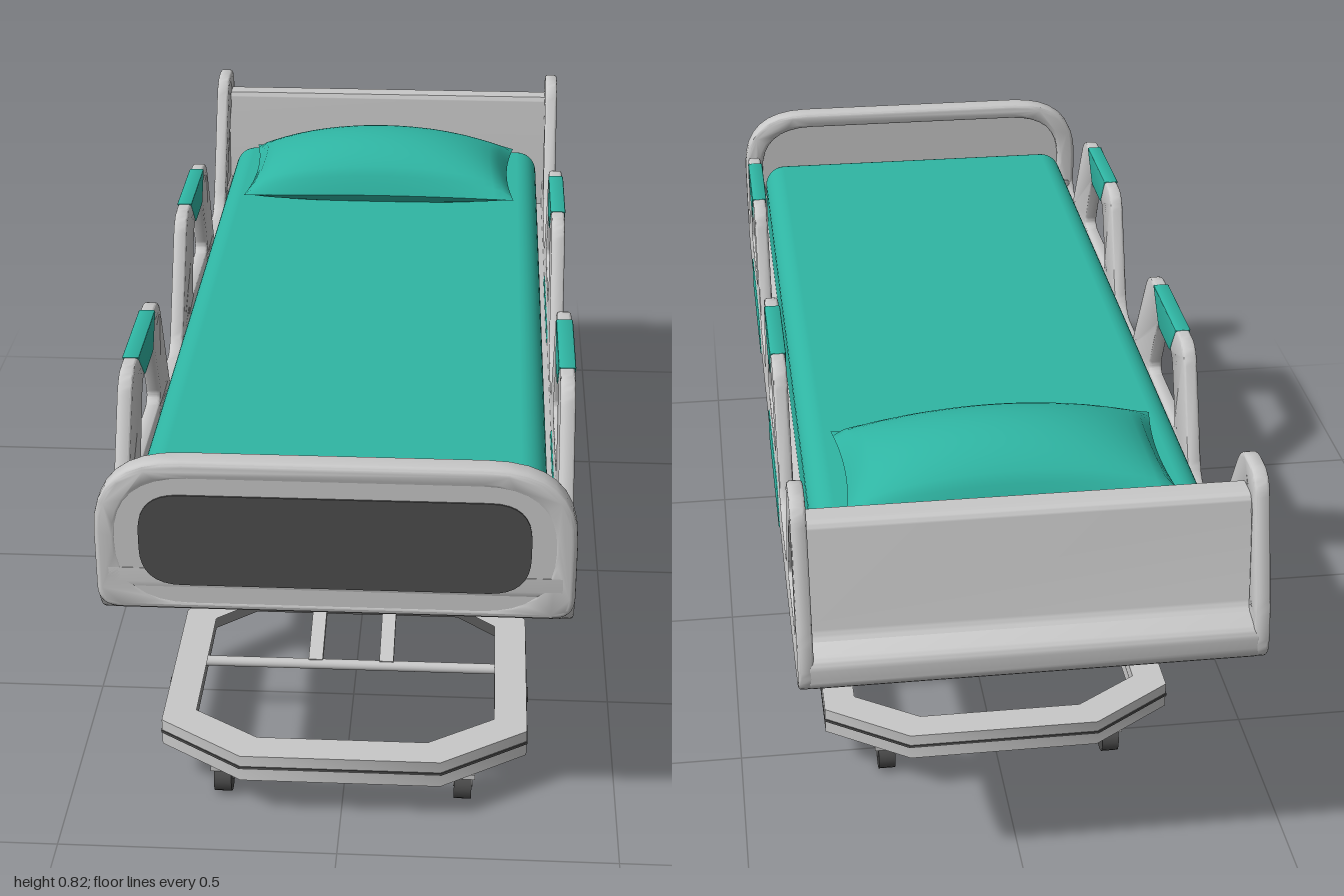
import * as THREE from 'three';
import { toCreasedNormals } from 'three/addons/utils/BufferGeometryUtils.js';
import { RoundedBoxGeometry } from 'three/addons/geometries/RoundedBoxGeometry.js';

const mat = (name, color) => Object.assign(new THREE.MeshStandardMaterial({ color }), { name });

// Closed outline whose corners are rounded; a point may carry its own radius as third value
function outline(pts, r = 0, Kind = THREE.Shape) {
  const s = new Kind();
  const n = pts.length;
  pts.forEach((p, i) => {
    const P = new THREE.Vector2(p[0], p[1]);
    const toward = (q) => {
      const d = new THREE.Vector2(q[0], q[1]).sub(P);
      const len = d.length();
      return d.multiplyScalar(Math.min(p[2] ?? r, len * 0.48) / len).add(P);
    };
    const a = toward(pts[(i + n - 1) % n]);
    const b = toward(pts[(i + 1) % n]);
    if (i === 0) s.moveTo(a.x, a.y); else s.lineTo(a.x, a.y);
    if ((p[2] ?? r) > 0) s.quadraticCurveTo(P.x, P.y, b.x, b.y);
  });
  s.closePath();
  return s;
}

// Extrusion of exact total depth and outline, with an optional edge bevel
function slab(shape, depth, bevel = 0) {
  const g = new THREE.ExtrudeGeometry(shape, {
    depth: depth - 2 * bevel, curveSegments: 8, bevelEnabled: bevel > 0,
    bevelSize: bevel, bevelThickness: bevel, bevelOffset: -bevel, bevelSegments: 4,
  });
  return toCreasedNormals(g.translate(0, 0, bevel), 0.6);
}
// Outline in (z, y), spanning x0..x1
const sideSlab = (shape, x0, x1, bevel) => slab(shape, x1 - x0, bevel).rotateY(-Math.PI / 2).translate(x1, 0, 0);
// Outline in (x, z), spanning y0..y1
const flatSlab = (shape, y0, y1) => slab(shape, y1 - y0).rotateX(Math.PI / 2).translate(0, y1, 0);
// Adds the mirrored half of an outline given for +x
const mirrored = (half) => [...half, ...half.map(([x, z]) => [-x, z]).reverse()];

export function createModel() {
  const grey = mat('light grey plastic', 0xc8c8c8);
  const dark = mat('dark grey', 0x4d4d4d);
  const teal = mat('teal', 0x2fb5a3);
  const bed = new THREE.Group();
  bed.name = 'hospitalBed';
  const add = (name, geo, material, parent = bed) => {
    const m = new THREE.Mesh(geo, material);
    m.name = name;
    parent.add(m);
    return m;
  };
  const rod = (name, y, z, half, r) =>
    add(name, new THREE.CylinderGeometry(r, r, half * 2, 16).rotateZ(Math.PI / 2).translate(0, y, z), grey);

  // Bed tray, curved up at both ends
  add('bedTray', sideSlab(outline([
    [1, 0.58, 0], [1, 0.53, 0.06], [0.945, 0.455, 0.08], [-0.5, 0.455, 0.1], [-0.88, 0.478, 0.1],
    [-1, 0.495, 0.07], [-1, 0.565, 0.02], [-0.93, 0.58, 0], [-0.86, 0.52, 0], [0.95, 0.52, 0], [0.95, 0.58, 0],
  ]), -0.396, 0.396, 0.018), grey);
  add('headboard', sideSlab(outline([
    [-0.84, 0.5], [-0.86, 0.775, 0.01], [-0.865, 0.78, 0], [-0.915, 0.78, 0.015], [-0.945, 0.58, 0.02], [-0.98, 0.56], [-0.98, 0.5],
  ]), -0.385, 0.385), grey);

  // Tapered dark pan below the tray
  const pan = new THREE.BoxGeometry(0.69, 0.04, 1.395);
  const pp = pan.attributes.position;
  for (let i = 0; i < pp.count; i++) {
    if (pp.getY(i) < 0) pp.setXYZ(i, pp.getX(i) * 0.885, pp.getY(i), pp.getZ(i) * 0.93);
  }
  pan.computeVertexNormals();
  add('underPan', pan.translate(0, 0.436, 0.137), dark);

  // Footboard: rounded rim, recessed inner face, dark front plate
  const board = outline([[-0.4, 0.5, 0.04], [0.4, 0.5, 0.04], [0.4, 0.78, 0.15], [-0.4, 0.78, 0.15]]);
  board.holes.push(outline([[-0.36, 0.52], [0.36, 0.52], [0.36, 0.745], [-0.36, 0.745]], 0.12, THREE.Path));
  add('footboardRim', slab(board, 0.045, 0.01).translate(0, 0, 0.955), grey);
  add('footboardPanel', slab(outline([[-0.37, 0.51], [0.37, 0.51], [0.37, 0.755], [-0.37, 0.755]], 0.12), 0.022)
    .translate(0, 0, 0.977), grey);
  add('footboardPlate', slab(outline([[-0.325, 0.55], [0.325, 0.55], [0.325, 0.72], [-0.325, 0.72]], 0.07), 0.004)
    .translate(0, 0, 0.998), dark);

  // Mattress and pillow
  add('mattress', new RoundedBoxGeometry(0.71, 0.19, 1.79, 5, 0.045).translate(0, 0.57, 0.06), teal);
  const pillow = new THREE.BoxGeometry(2, 2, 2, 28, 1, 20);
  const pos = pillow.attributes.position;
  for (let i = 0; i < pos.count; i++) {
    const u = pos.getX(i), v = pos.getZ(i), side = Math.sign(pos.getY(i));
    const puff = Math.pow((1 - u * u) * (1 - v * v), 0.55);
    pos.setXYZ(i, 0.3 * u * (1 - 0.05 * (1 - v * v)), 0.685 + side * puff * (side > 0 ? 0.1 : 0.05),
      -0.6 + 0.165 * v * (1 - 0.09 * (1 - u * u)));
  }
  pillow.computeVertexNormals();
  add('pillow', pillow, teal);

  // Side panels with two grab handles each
  const handleShift = [0, -0.74];
  const handle = [[0.835, 0.55], [0.695, 0.79], [0.365, 0.79], [0.265, 0.55]];
  const moved = (pts, dz) => pts.map(([z, y, r]) => [z + dz, y, r]);
  const pocketPts = [[-0.735, 0.575], [-0.885, 0.775], [-0.92, 0.745], [-0.945, 0.58]];
  for (const s of [1, -1]) {
    const side = new THREE.Group();
    side.name = s > 0 ? 'leftSide' : 'rightSide';
    bed.add(side);
    const sidePart = (name, pts, r, x0, x1, material, bevel = 0, holes = []) => {
      const shape = outline(pts, r);
      shape.holes.push(...holes);
      add(name, s > 0 ? sideSlab(shape, x0, x1, bevel) : sideSlab(shape, -x1, -x0, bevel), material, side);
    };
    const holes = handleShift.map((dz) => outline(
      moved([[0.655, 0.592], [0.59, 0.73], [0.455, 0.73], [0.395, 0.592]], dz), 0.03, THREE.Path));
    holes.push(outline(pocketPts, 0.02, THREE.Path));
    sidePart('sidePanel', [
      [0.99, 0.62], [0.96, 0.62, 0], [0.955, 0.55], ...handle, ...moved(handle, -0.74),
      [-0.67, 0.55, 0.05], [-0.825, 0.825], [-0.925, 0.825], [-1, 0.57, 0.06], [-1, 0.495, 0.06],
      [-0.88, 0.478, 0.1], [-0.5, 0.455, 0.1], [0.945, 0.455, 0.08], [0.995, 0.53, 0.06],
    ], 0.04, 0.373, 0.4, grey, 0.006, holes);
    sidePart('pocketBack', pocketPts, 0, 0.377, 0.39, grey);
    sidePart('pocketPlate', [[-0.79, 0.615], [-0.868, 0.715], [-0.903, 0.665], [-0.875, 0.6]], 0.01, 0.388, 0.394, dark);
    for (const dz of handleShift) {
      sidePart('handleGrip', moved([[0.635, 0.792], [0.425, 0.792], [0.47, 0.727], [0.57, 0.727]], dz), 0.006, 0.371, 0.402, teal, 0.004);
      sidePart('sideInsert', moved([[0.685, 0.54], [0.375, 0.54], [0.345, 0.453], [0.715, 0.453]], dz), 0.015, 0.371, 0.402, teal, 0.004);
    }
  }

  // Base frame: waisted outline, open at both ends
  const mid = 0.1275;
  const ends = [[0.18, 0.905], [0.335, 0.8], [0.335, 0.42], [0.2, 0.3]];
  const flip = (pts) => pts.map(([x, z]) => [x, 2 * mid - z]);
  const baseHalf = [...ends, ...flip(ends).reverse()];
  const opening = mirrored([[0.155, 0.845], [0.275, 0.765], [0.275, 0.45], [0.2, 0.385]]);
  const baseShape = (k) => {
    const s = outline(mirrored(baseHalf.map(([x, z]) => [x + k, z + (z > mid ? k : -k)])));
    s.holes.push(outline(opening, 0, THREE.Path), outline(flip(opening), 0, THREE.Path));
    return s;
  };
  add('baseFrame', flatSlab(baseShape(0), 0.083, 0.135), grey);
  add('baseSeam', flatSlab(baseShape(0.0015), 0.108, 0.113), dark);
  const deck = [[0.17, 0.37], [0.24, 0.37], [0.165, 0.29]];
  add('baseDeck', flatSlab(outline(mirrored([...deck.slice(1), ...flip(deck.slice(1)).reverse()])), 0.134, 0.138), dark);
  for (const s of [1, -1]) {
    for (const [x, z] of [[0.335, 0.645], [0.2, mid], [0.335, -0.39]]) {
      add('baseBolt', new THREE.CylinderGeometry(0.014, 0.014, 0.006, 8).rotateZ(Math.PI / 2)
        .translate(s * (x + 0.001), 0.11, z), dark);
    }
  }

  // Scissor lift: two pairs of jogged legs crossing at the axle
  const leg = (s, x0, x1, zTop, zBottom) => {
    const drop = 0.295, run = zBottom - zTop, L = Math.hypot(drop, run);
    const d = 0.025 * Math.sign(x1 - x0), w = 0.0135;
    const edge = (o, k) => [[x0 + o, 0], [x0 + o, 0.3 + k], [x1 + o, 0.34 + k],
      [x1 + o, 0.76 - k], [x0 + o, 0.8 - k], [x0 + o, L]];
    const pts = [...edge(w, -d), ...edge(-w, d).reverse()].map(([x, y]) => [s * x, y]);
    const X = new THREE.Vector3(1, 0, 0), dir = new THREE.Vector3(0, -drop / L, run / L);
    const m = new THREE.Matrix4().makeBasis(X, dir, X.clone().cross(dir)).setPosition(0, 0.42, zTop);
    add('scissorLeg', slab(outline(pts), 0.018).translate(0, 0, -0.009).applyMatrix4(m), grey);
  };
  for (const s of [1, -1]) {
    leg(s, 0.161, 0.068, 0.685, -0.33);
    leg(s, 0.068, 0.161, -0.44, 0.58);
  }
  rod('scissorAxle', 0.26, 0.125, 0.177, 0.01);
  for (const z of [0.58, -0.325]) rod('lowerRod', 0.122, z, 0.28, 0.01);
  for (const z of [0.68, -0.435]) rod('upperRod', 0.416, z, 0.17, 0.009);

  // Casters
  for (const x of [0.22, -0.22]) {
    for (const z of [0.815, -0.555]) {
      const caster = new THREE.Group();
      caster.name = 'caster';
      caster.position.set(x, 0, z);
      bed.add(caster);
      add('casterMount', new THREE.BoxGeometry(0.04, 0.022, 0.05).translate(0, 0.074, 0), grey, caster);
      add('casterPlate', new THREE.BoxGeometry(0.045, 0.01, 0.054).translate(0, 0.059, 0), grey, caster);
      add('casterWheel', new THREE.CylinderGeometry(0.034, 0.034, 0.032, 20).rotateZ(Math.PI / 2).translate(0, 0.034, 0), dark, caster);
      add('casterHub', new THREE.CylinderGeometry(0.014, 0.014, 0.036, 12).rotateZ(Math.PI / 2).translate(0, 0.036, 0), grey, caster);
    }
  }
  return bed;
}
